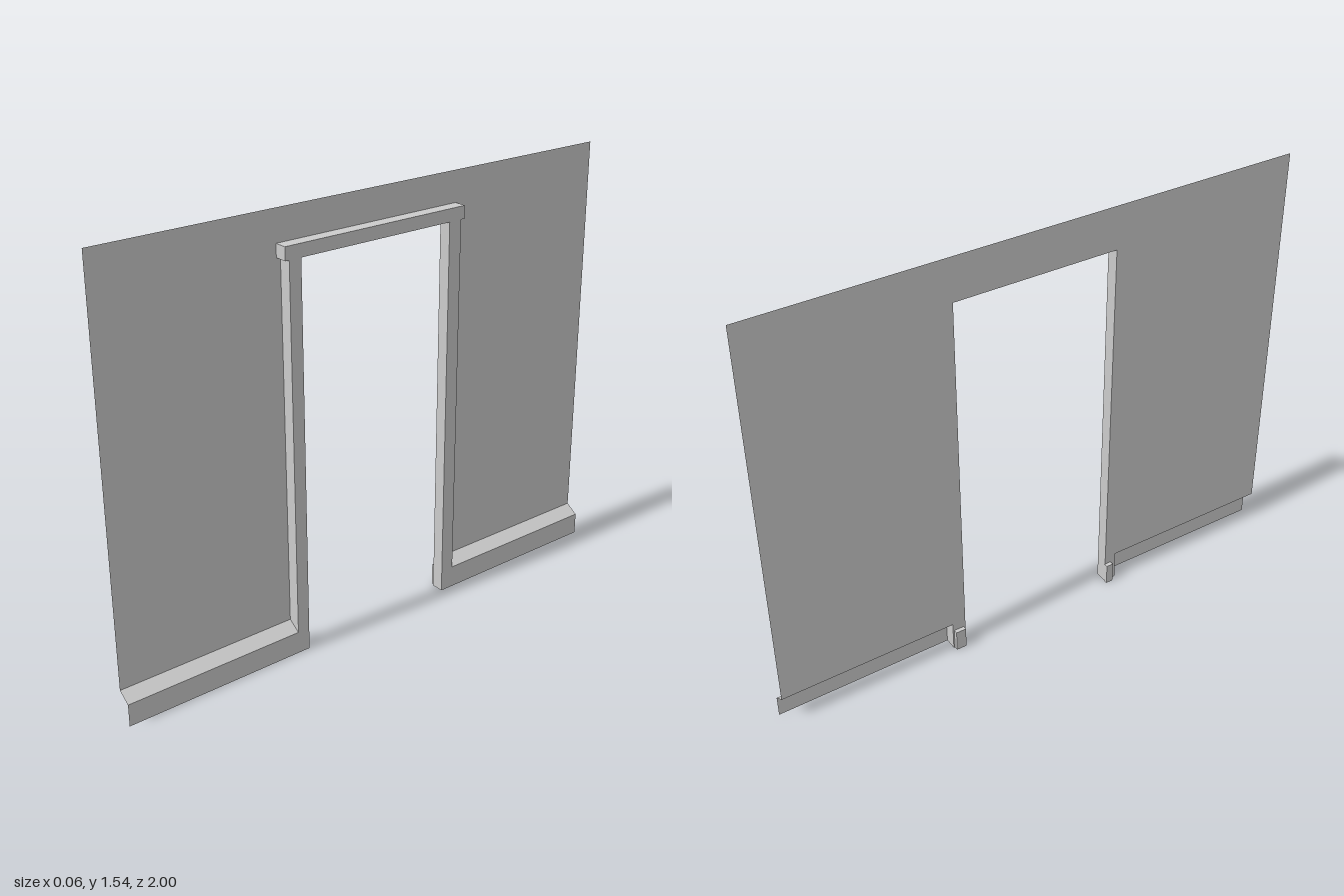
import * as THREE from 'three';

const BACK = -0.015, FRONT = 0.03;      // wall plane and face of the trim
const TOP = 1.54, DOOR = 1.385, LINTEL = 1.43;
const SKIRT = 0.08, SLOPE = 0.11;       // skirting face and top of its bevel

export function createModel() {
  const group = new THREE.Group();
  const mat = new THREE.MeshStandardMaterial({ color: 0xcccccc, side: THREE.DoubleSide, flatShading: true });

  const add = (name, geometry) => {
    const mesh = new THREE.Mesh(geometry, mat);
    mesh.name = name;
    group.add(mesh);
    return mesh;
  };
  const box = (name, x0, x1, y0, y1, z0, z1) =>
    add(name, new THREE.BoxGeometry(x1 - x0, y1 - y0, z1 - z0))
      .position.set((x0 + x1) / 2, (y0 + y1) / 2, (z0 + z1) / 2);

  // Thin wall sheet, cut out around the door frame; outline in (-z, y)
  const wall = new THREE.Shape([
    [-1, SLOPE], [-0.345, SLOPE], [-0.345, DOOR], [-0.36, DOOR], [-0.36, LINTEL],
    [0.365, LINTEL], [0.365, DOOR], [0.35, DOOR], [0.35, SLOPE], [1, SLOPE], [1, TOP], [-1, TOP],
  ].map(([u, v]) => new THREE.Vector2(u, v)));
  const wallGeo = new THREE.ShapeGeometry(wall);
  wallGeo.rotateY(Math.PI / 2).translate(BACK, 0, 0);
  add('wall', wallGeo);

  // Door frame
  box('leftPost', BACK, FRONT, 0, DOOR, 0.3, 0.345);
  box('rightPost', BACK, FRONT, 0, DOOR, -0.35, -0.3);
  box('lintel', BACK, FRONT, DOOR, LINTEL, -0.365, 0.36);

  // Small foot blocks behind the posts
  box('leftFootBlock', -0.03, BACK, 0, SKIRT, 0.298, 0.325);
  box('rightFootBlock', -0.03, BACK, 0, SKIRT, -0.345, -0.307);

  // Open skirting: upright face and bevel up to the wall
  const skirting = (name, z0, z1) => {
    const profile = [[FRONT, 0], [FRONT, SKIRT], [BACK, SLOPE]];
    const pos = profile.flatMap(([x, y]) => [x, y, z1, x, y, z0]);
    const geo = new THREE.BufferGeometry();
    geo.setAttribute('position', new THREE.Float32BufferAttribute(pos, 3));
    geo.setIndex([0, 1, 3, 0, 3, 2, 2, 3, 5, 2, 5, 4]);
    const flat = geo.toNonIndexed();
    flat.computeVertexNormals();
    add(name, flat);
  };
  skirting('leftSkirting', 0.345, 1);
  skirting('rightSkirting', -1, -0.35);

  return group;
}
